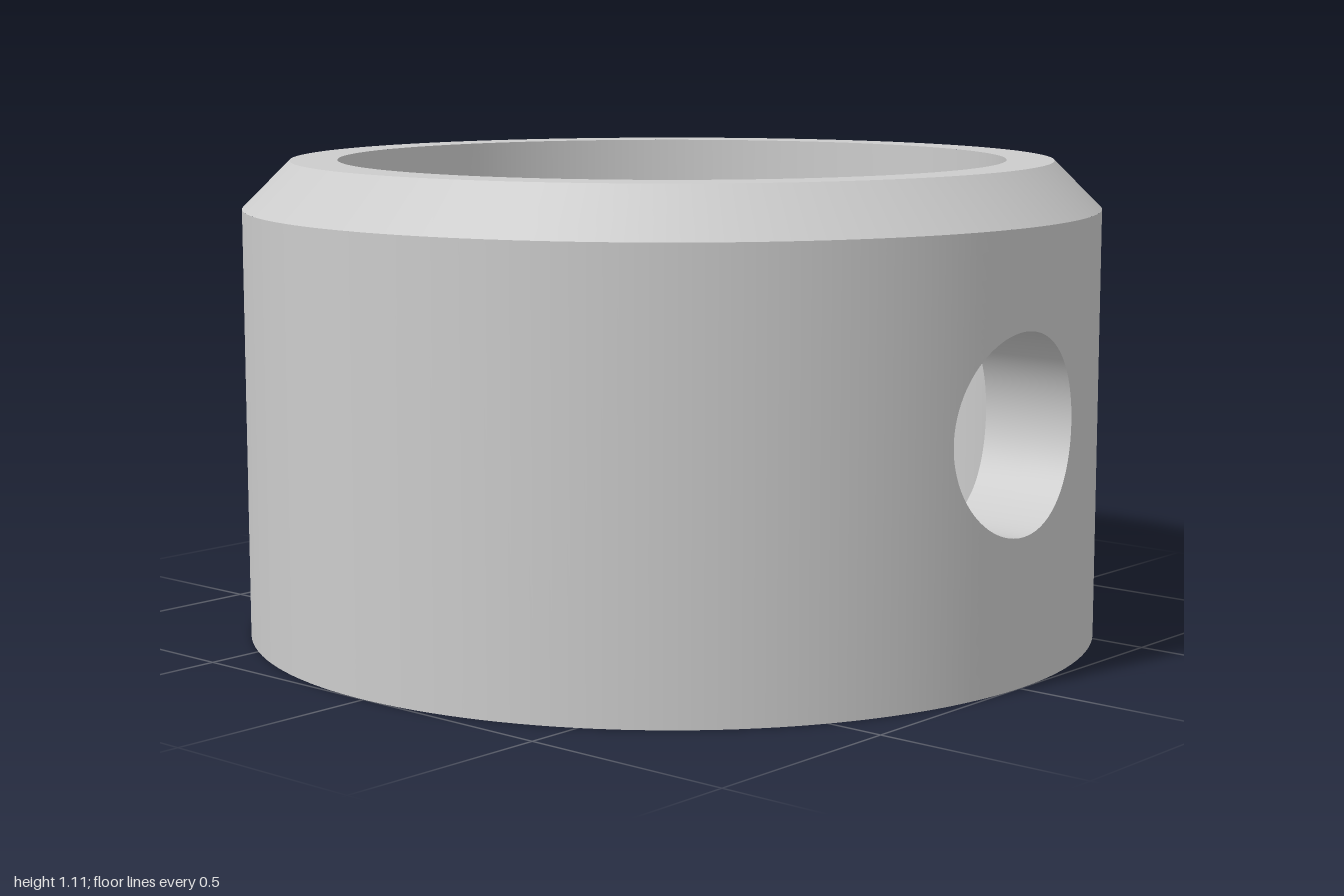
import * as THREE from 'three';
import { ParametricGeometry } from 'three/addons/geometries/ParametricGeometry.js';

const OUTER = 1, INNER = 0.78, HEIGHT = 1.11, SHOULDER = 1, TOP_R = 0.89;
const HOLE_R = 0.223, HOLE_Y = 0.556, PANEL = 0.45; // PANEL: half width of the drilled panel

export function createModel() {
  const group = new THREE.Group();
  const material = new THREE.MeshStandardMaterial({ color: 0xcccccc });

  const add = (name, geometry, turn = 0) => {
    const mesh = new THREE.Mesh(geometry, material);
    mesh.name = name;
    mesh.rotation.y = turn;
    group.add(mesh);
  };

  // Revolved strip between two profile points
  const band = (r0, y0, r1, y1, start = 0, sweep = Math.PI * 2) =>
    new THREE.LatheGeometry(
      [new THREE.Vector2(r0, y0), new THREE.Vector2(r1, y1)], Math.round(sweep * 24), start, sweep);

  // Walk round the panel's rectangle, relative to the hole centre
  const rectPoint = (u, top) => {
    const lo = -HOLE_Y, hi = top - HOLE_Y;
    const corners = [[PANEL, lo], [PANEL, hi], [-PANEL, hi], [-PANEL, lo]];
    const side = Math.min(3, Math.floor(u * 4)), f = u * 4 - side;
    const a = corners[side], b = corners[(side + 1) % 4];
    return [a[0] + (b[0] - a[0]) * f, a[1] + (b[1] - a[1]) * f];
  };

  // Curved wall panel running between its rectangle and the round hole
  const panel = (radius, top, inward) => new ParametricGeometry((u, v, p) => {
    const [x, y] = rectPoint(u, top);
    const k = HOLE_R / Math.hypot(x, y);
    const s = k + (1 - k) * (inward ? v : 1 - v);
    p.set(x * s, HOLE_Y + y * s, Math.sqrt(radius * radius - x * x * s * s));
  }, 128, 16);

  // Hole lining from the outer wall to the inner wall
  const bore = new ParametricGeometry((u, v, p) => {
    const [rx, ry] = rectPoint(u, SHOULDER);
    const k = HOLE_R / Math.hypot(rx, ry), x = rx * k;
    const zOut = Math.sqrt(OUTER * OUTER - x * x), zIn = Math.sqrt(INNER * INNER - x * x);
    p.set(x, HOLE_Y + ry * k, zOut + (zIn - zOut) * v);
  }, 128, 2);

  // Rim and base
  add('bottomFace', band(INNER, 0, OUTER, 0));
  add('chamfer', band(OUTER, SHOULDER, TOP_R, HEIGHT));
  add('topFace', band(TOP_R, HEIGHT, INNER, HEIGHT));

  // Walls: plain sides left and right, drilled panels front and back
  const outerPanel = panel(OUTER, SHOULDER, false);
  const innerPanel = panel(INNER, HEIGHT, true);
  const aOut = Math.asin(PANEL / OUTER), aIn = Math.asin(PANEL / INNER);
  const outerSide = band(OUTER, 0, OUTER, SHOULDER, aOut, Math.PI - 2 * aOut);
  const innerSide = band(INNER, HEIGHT, INNER, 0, aIn, Math.PI - 2 * aIn);
  for (const [i, turn] of [0, Math.PI].entries()) {
    const face = ['front', 'back'][i], side = ['left', 'right'][i];
    add(face + 'OuterPanel', outerPanel, turn);
    add(face + 'InnerPanel', innerPanel, turn);
    add(face + 'HoleBore', bore, turn);
    add(side + 'OuterWall', outerSide, turn);
    add(side + 'InnerWall', innerSide, turn);
  }
  return group;
}
